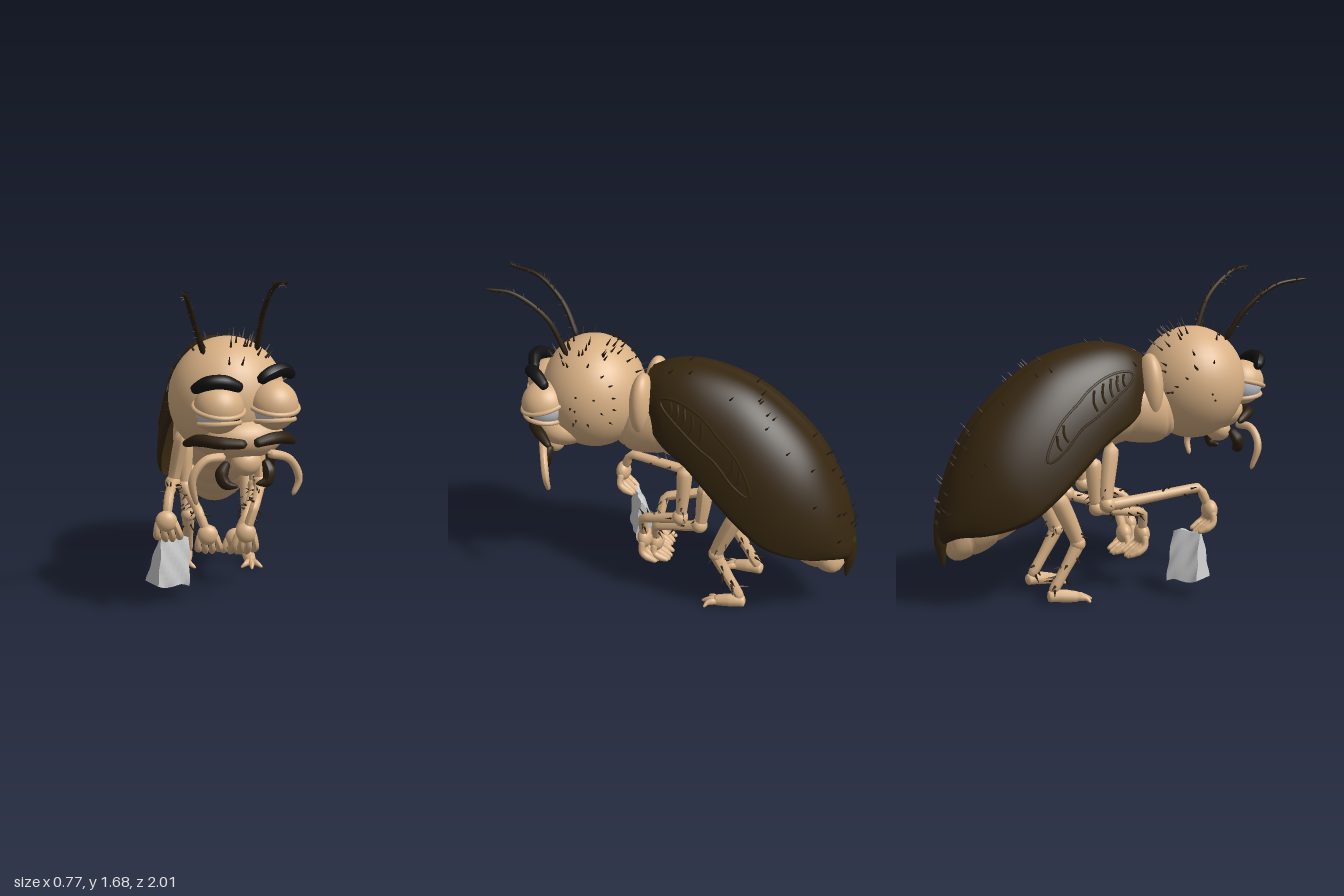
import * as THREE from 'three';
import { mergeGeometries } from 'three/addons/utils/BufferGeometryUtils.js';

const mat = (name, color, side = THREE.FrontSide) => {
  const m = new THREE.MeshStandardMaterial({ color, side });
  m.name = name;
  return m;
};
const V = (p) => new THREE.Vector3(...p);

export function createModel() {
  const skin = mat('tan skin', 0xd8b084, THREE.DoubleSide);
  const shellMat = mat('dark brown shell', 0x35260f, THREE.DoubleSide);
  const hair = mat('bristle brown', 0x2b1e0e);
  const black = mat('black', 0x121010);
  const white = mat('eye white', 0xc9cbd2);
  const grey = mat('iris grey', 0x85878e);
  const paper = mat('paper grey', 0xcccccd);

  const model = new THREE.Group();
  let seed = 7;
  const rnd = () => (seed = (seed * 16807) % 2147483647) / 2147483647;
  const add = (name, geo, material, parent = model) => {
    const m = new THREE.Mesh(geo, material);
    m.name = name;
    parent.add(m);
    return m;
  };
  const ball = (name, c, r, material = skin, rotY = 0) => {
    const m = add(name, new THREE.SphereGeometry(1, 32, 22), material);
    m.position.set(...c);
    m.scale.set(...r);
    m.rotation.y = rotY;
    return m;
  };

  // Rounded, tapering tube through points; radii are spread along its length
  const path = (pts, tension = 0.5) => new THREE.CatmullRomCurve3(pts.map(V), false, 'catmullrom', tension);
  function limbGeo(curve, radii, n = 28, sides = 10) {
    const g = new THREE.TubeGeometry(curve, n, 1, sides);
    const p = g.attributes.position, v = new THREE.Vector3();
    for (let i = 0; i < p.count; i++) {
      const t = Math.floor(i / (sides + 1)) / n;
      const f = t * (radii.length - 1), k = Math.min(Math.floor(f), radii.length - 2);
      const r = THREE.MathUtils.lerp(radii[k], radii[k + 1], f - k);
      const cap = Math.sqrt(Math.max(0, 1 - Math.abs(2 * t - 1) ** 16));
      const c = curve.getPointAt(t);
      v.fromBufferAttribute(p, i).sub(c).multiplyScalar(r * cap).add(c);
      p.setXYZ(i, v.x, v.y, v.z);
    }
    g.computeVertexNormals();
    return g;
  }
  const limb = (name, pts, radii, material = skin, tension = 0.5) =>
    add(name, limbGeo(path(pts, tension), radii), material);

  // Bristles
  const up = new THREE.Vector3(0, 1, 0);
  const spike = (pos, dir, len, r = 0.007) => {
    const g = new THREE.ConeGeometry(r, len, 5);
    g.translate(0, len * 0.4, 0);
    g.applyQuaternion(new THREE.Quaternion().setFromUnitVectors(up, dir.clone().normalize()));
    return g.translate(pos.x, pos.y, pos.z);
  };
  function bristles(name, curve, n, r, len, t0 = 0.1, t1 = 0.95) {
    const list = [];
    for (let i = 0; i < n; i++) {
      const t = t0 + (t1 - t0) * i / (n - 1), tan = curve.getTangentAt(t);
      const d = new THREE.Vector3(rnd() - 0.5, rnd() - 0.5, rnd() - 0.5).cross(tan).normalize();
      list.push(spike(curve.getPointAt(t).addScaledVector(d, r), d.addScaledVector(tan, 0.6), len, len * 0.15));
    }
    add(name, mergeGeometries(list), hair);
  }

  // Body sections: [top z, top y, bottom z, bottom y, half width]
  function surface(stations, section) {
    const A = new THREE.CatmullRomCurve3(stations.map((s) => new THREE.Vector3(s[0], s[1], s[4])));
    const B = new THREE.CatmullRomCurve3(stations.map((s) => new THREE.Vector3(s[2], s[3], 0)));
    return (t, a) => {
      const top = A.getPoint(t), low = B.getPoint(t), [x, h] = section(a, t);
      return new THREE.Vector3(top.z * x, low.y + (top.y - low.y) * h, low.x + (top.x - low.x) * h);
    };
  }
  function loft(at, a0, a1, n, m) {
    const pos = [], idx = [];
    for (let i = 0; i <= n; i++) for (let j = 0; j <= m; j++) {
      pos.push(...at(i / n, a0 + (a1 - a0) * j / m).toArray());
      if (i < n && j < m) {
        const p = i * (m + 1) + j, q = p + m + 1;
        idx.push(p, q, p + 1, q, q + 1, p + 1);
      }
    }
    const g = new THREE.BufferGeometry();
    g.setAttribute('position', new THREE.Float32BufferAttribute(pos, 3));
    g.setIndex(idx);
    g.computeVertexNormals();
    return g;
  }

  // Wing case with a centre groove and a curled rim
  const shellAt = surface([
    [0.11, 1.26, 0.07, 1.0, 0.17], [0.0, 1.31, -0.02, 0.95, 0.235], [-0.16, 1.325, -0.16, 0.88, 0.28],
    [-0.42, 1.26, -0.32, 0.75, 0.315], [-0.62, 1.13, -0.46, 0.63, 0.335], [-0.79, 0.96, -0.6, 0.52, 0.33],
    [-0.9, 0.77, -0.72, 0.46, 0.29], [-0.965, 0.59, -0.83, 0.42, 0.23], [-1.0, 0.42, -0.93, 0.39, 0.14],
    [-0.985, 0.34, -0.97, 0.34, 0.03],
  ], (a) => {
    const c = Math.cos(a), s = Math.sin(a);
    const groove = 0.02 * Math.exp(-(((a - Math.PI / 2) / 0.05) ** 2));
    return [Math.sign(c) * Math.abs(c) ** 0.88, s < 0 ? s * 0.2 : s - groove];
  });
  add('wing case', loft(shellAt, -0.4, Math.PI + 0.4, 60, 64), shellMat);
  limb('tail spike', [[0, 0.46, -0.96], [0, 0.34, -0.975], [0, 0.21, -0.965]], [0.05, 0.035, 0.006], shellMat);

  // Raised shoe-sole mark on each side
  for (const s of [1, -1]) {
    const on = (u, w) => { // u along the sole, w across it
      const a = 0.64 - 0.32 * u + w;
      return shellAt((0.95 + 3.1 * u) / 9, s > 0 ? a : Math.PI - a);
    };
    const half = (u) => 0.21 * Math.sqrt(Math.sin(Math.PI * u)) * (1 - 0.3 * u) * (1 - 0.25 * Math.exp(-(((u - 0.62) / 0.12) ** 2)));
    const ring = [];
    for (let i = 0; i < 32; i++) {
      const q = i / 32 * Math.PI * 2, u = 0.5 - 0.5 * Math.cos(q);
      ring.push(on(u, Math.sign(Math.sin(q)) * half(Math.min(1, Math.max(0, u)))));
    }
    const parts = [new THREE.TubeGeometry(new THREE.CatmullRomCurve3(ring, true), 90, 0.007, 5, true)];
    for (const u of [0.14, 0.22, 0.3, 0.38, 0.46, 0.76, 0.84]) {
      const w = half(u) * 0.7;
      parts.push(new THREE.TubeGeometry(new THREE.CatmullRomCurve3([on(u, -w), on(u + 0.02, 0), on(u, w)]), 8, 0.008, 5));
    }
    add('sole mark', mergeGeometries(parts), shellMat);
  }
  const shellHairs = [];
  for (let i = 0; i < 36; i++) {
    const p = shellAt(0.08 + 0.8 * rnd(), 0.7 + 1.75 * rnd());
    shellHairs.push(spike(p, new THREE.Vector3(p.x, 0.35, -0.3), 0.045, 0.006));
  }
  add('wing case bristles', mergeGeometries(shellHairs), hair);

  // Segmented belly
  const bellyAt = surface([
    [0.26, 1.08, 0.32, 0.86, 0.09], [0.15, 1.16, 0.23, 0.79, 0.17], [-0.03, 1.2, -0.03, 0.79, 0.2],
    [-0.2, 1.2, -0.17, 0.745, 0.205], [-0.4, 1.1, -0.32, 0.6, 0.225], [-0.6, 0.95, -0.48, 0.47, 0.24],
    [-0.77, 0.74, -0.65, 0.355, 0.22], [-0.88, 0.55, -0.8, 0.275, 0.165], [-0.94, 0.4, -0.92, 0.25, 0.1],
    [-0.96, 0.31, -0.96, 0.3, 0.01],
  ], (a, t) => {
    const k = 0.97 + 0.06 * Math.sqrt(Math.abs(Math.sin(Math.PI * t * 10)));
    return [Math.cos(a) * k, 0.5 + 0.5 * Math.sin(a) * k];
  });
  add('segmented belly', loft(bellyAt, -1.5 * Math.PI, 0.5 * Math.PI, 100, 36), skin);
  for (const s of [1, -1]) ball('collar lobe', [s * 0.115, 1.09, 0.12], [0.105, 0.175, 0.065]);

  // Head, turned a little to its left
  const yaw = 0.4, hc = V([0.015, 1.085, 0.425]);
  ball('head', hc.toArray(), [0.29, 0.3, 0.275], skin, yaw);
  ball('muzzle', [0.09, 0.92, 0.57], [0.2, 0.11, 0.16], skin, yaw);
  ball('lower lip', [0.1, 0.8, 0.63], [0.075, 0.065, 0.06], skin, yaw);
  const headHairs = [];
  for (let i = 0; i < 95; i++) {
    const q = rnd() * Math.PI * 2, y = -0.25 + 1.22 * rnd(), c = Math.sqrt(1 - y * y);
    const d = new THREE.Vector3(Math.cos(q) * c, y, Math.sin(q) * c);
    if (y < 0.62 && d.z > 0.1) continue;
    const p = d.clone().multiply(V([0.286, 0.298, 0.274])).add(hc);
    headHairs.push(spike(p, d.add(V([0, 0.2, -0.35])), 0.04 + 0.03 * Math.max(0, y), 0.007));
  }
  add('head bristles', mergeGeometries(headHairs), hair);

  // Half-closed eyes
  for (const c of [[0.23, 1.075, 0.615], [-0.035, 1.075, 0.7]]) {
    const eye = new THREE.Group(), r = 0.112;
    eye.name = 'eye';
    eye.position.set(...c);
    eye.rotation.y = yaw;
    model.add(eye);
    add('eyeball', new THREE.SphereGeometry(r, 28, 20), white, eye);
    const disc = (name, k, angle, m) => add(name, new THREE.SphereGeometry(r * k, 20, 6, 0, Math.PI * 2, 0, angle)
      .rotateX(Math.PI / 2 + 0.42).rotateY(0.6), m, eye);
    disc('iris', 1.01, 0.4, grey);
    disc('pupil', 1.02, 0.27, black);
    const lid = (name, start, len, tilt) => {
      const g = new THREE.SphereGeometry(r * 1.07, 28, 12, 0, Math.PI * 2, start, len);
      const edge = start > 0 ? start : len;
      const rim = new THREE.TorusGeometry(r * 1.07 * Math.sin(edge), 0.012, 8, 32).rotateX(Math.PI / 2);
      rim.translate(0, r * 1.07 * Math.cos(edge), 0);
      add(name, mergeGeometries([g, rim]), skin, eye).rotation.x = tilt;
    };
    lid('upper eyelid', 0, Math.PI / 2, 0.26);
    lid('lower eyelid', Math.PI * 0.7, Math.PI * 0.3, -0.12);
  }

  // Brows, moustache, mandibles and feelers
  const fat = [0.024, 0.034, 0.034, 0.024], tuft = [0.016, 0.03, 0.03, 0.022];
  limb('right brow', [[-0.16, 1.165, 0.73], [-0.09, 1.205, 0.775], [-0.01, 1.21, 0.775], [0.075, 1.175, 0.74]], fat, black);
  limb('left brow', [[0.15, 1.2, 0.71], [0.2, 1.235, 0.7], [0.27, 1.25, 0.64], [0.325, 1.21, 0.56]], fat, black);
  limb('right moustache', [[-0.2, 0.885, 0.6], [-0.13, 0.92, 0.69], [-0.03, 0.915, 0.735], [0.1, 0.91, 0.745]], tuft, hair);
  limb('left moustache', [[0.34, 0.885, 0.55], [0.28, 0.92, 0.63], [0.21, 0.925, 0.69], [0.13, 0.91, 0.735]], tuft, hair);
  const jaw = [0.018, 0.032, 0.028, 0.006];
  limb('right mandible', [[0.01, 0.81, 0.66], [-0.02, 0.755, 0.69], [0.0, 0.71, 0.7], [0.06, 0.695, 0.7]], jaw, hair);
  limb('left mandible', [[0.19, 0.81, 0.61], [0.21, 0.755, 0.63], [0.2, 0.71, 0.64], [0.145, 0.7, 0.66]], jaw, hair);
  const thin = [0.024, 0.02, 0.02, 0.012];
  limb('right feeler', [[0.0, 0.84, 0.69], [-0.1, 0.83, 0.73], [-0.16, 0.74, 0.74], [-0.14, 0.61, 0.71]], thin);
  limb('left feeler', [[0.2, 0.85, 0.65], [0.31, 0.81, 0.6], [0.36, 0.71, 0.57], [0.33, 0.62, 0.57]], thin);
  for (const pts of [
    [[-0.1, 1.31, 0.56], [-0.15, 1.48, 0.66], [-0.185, 1.6, 0.81], [-0.2, 1.635, 0.995]],
    [[0.155, 1.32, 0.51], [0.18, 1.52, 0.6], [0.22, 1.65, 0.755], [0.27, 1.68, 0.9]],
  ]) {
    limb('antenna', pts, [0.016, 0.013, 0.011, 0.007], hair);
    bristles('antenna bristles', path(pts), 30, 0.008, 0.03);
  }

  // Arms: shoulder, elbow, wrist, palm, fingertips
  function arm(name, sh, el, wr, palm, tip) {
    const pts = [sh, el, wr, palm];
    limb(name, pts, [0.045, 0.04, 0.032, 0.028, 0.026, 0.025, 0.026], skin, 0.12);
    ball(name + ' elbow', el, [0.042, 0.042, 0.042]);
    bristles(name + ' bristles', path(pts, 0.12), 16, 0.024, 0.045, 0.25, 0.85);
    ball(name + ' palm', palm, [0.055, 0.055, 0.04]);
    for (let k = 0; k < 4; k++) {
      const o = (k - 1.5) * 0.032, mid = V(palm).lerp(V(tip), 0.5);
      limb(name + ' finger', [[palm[0] + o * 0.8, palm[1], palm[2]],
        [mid.x + o * 1.2, mid.y, mid.z + 0.035], [tip[0] + o, tip[1] + Math.abs(o) * 0.4, tip[2]]],
      [0.02, 0.017, 0.02, 0.01]);
    }
  }
  arm('bag arm', [-0.19, 0.83, -0.12], [-0.25, 0.52, -0.17], [-0.27, 0.57, 0.33], [-0.285, 0.45, 0.39], [-0.27, 0.32, 0.31]);
  arm('left front arm', [0.2, 0.83, -0.14], [0.22, 0.53, -0.12], [0.18, 0.46, 0.1], [0.13, 0.31, 0.11], [0.12, 0.17, 0.03]);
  arm('right middle arm', [-0.18, 0.76, -0.22], [-0.18, 0.49, -0.2], [-0.12, 0.43, 0.08], [-0.07, 0.3, 0.1], [-0.06, 0.17, 0.01]);
  arm('left middle arm', [0.19, 0.74, -0.25], [0.2, 0.49, -0.22], [0.14, 0.4, 0.04], [0.08, 0.27, 0.06], [0.07, 0.16, -0.02]);

  // Hind legs and splayed feet
  for (const s of [1, -1]) {
    const pts = [[s * 0.17, 0.58, -0.42], [s * 0.165, 0.31, -0.3], [s * 0.165, 0.05, -0.45]];
    limb('hind leg', pts, [0.05, 0.045, 0.036, 0.028, 0.028], skin, 0.12);
    ball('knee', pts[1], [0.04, 0.04, 0.04]);
    bristles('hind leg bristles', path(pts, 0.12), 20, 0.026, 0.055, 0.3);
    limb('foot', [[s * 0.165, 0.045, -0.47], [s * 0.175, 0.045, -0.4], [s * 0.185, 0.03, -0.3]], [0.03, 0.035, 0.028]);
    for (const k of [-1, 0, 1]) limb('toe', [[s * 0.18, 0.03, -0.34], [s * 0.185 + k * 0.03, 0.03, -0.28],
      [s * 0.185 + k * 0.06, 0.012, -0.23 - Math.abs(k) * 0.03]], [0.02, 0.018, 0.006]);
  }

  // Crumpled paper bag, pinched at the top
  const bag = new THREE.BoxGeometry(0.19, 0.25, 0.12, 8, 10, 4);
  const bp = bag.attributes.position;
  for (let i = 0; i < bp.count; i++) {
    const x = bp.getX(i), y = bp.getY(i), z = bp.getZ(i), h = y / 0.25 + 0.5;
    const pinch = 1 - 0.85 * h ** 1.3;
    const crease = 0.006 * Math.sin(x * 60 + y * 45) * Math.sign(z);
    bp.setXYZ(i, x * (1 - 0.12 * h), y + 0.008 * Math.sin(x * 40), z * pinch + crease - 0.03 * (1 - h));
  }
  bag.computeVertexNormals();
  const bagMesh = add('paper bag', bag, paper);
  bagMesh.position.set(-0.255, 0.215, 0.29);
  bagMesh.rotation.set(0, 0.55, -0.1);

  return model;
}
